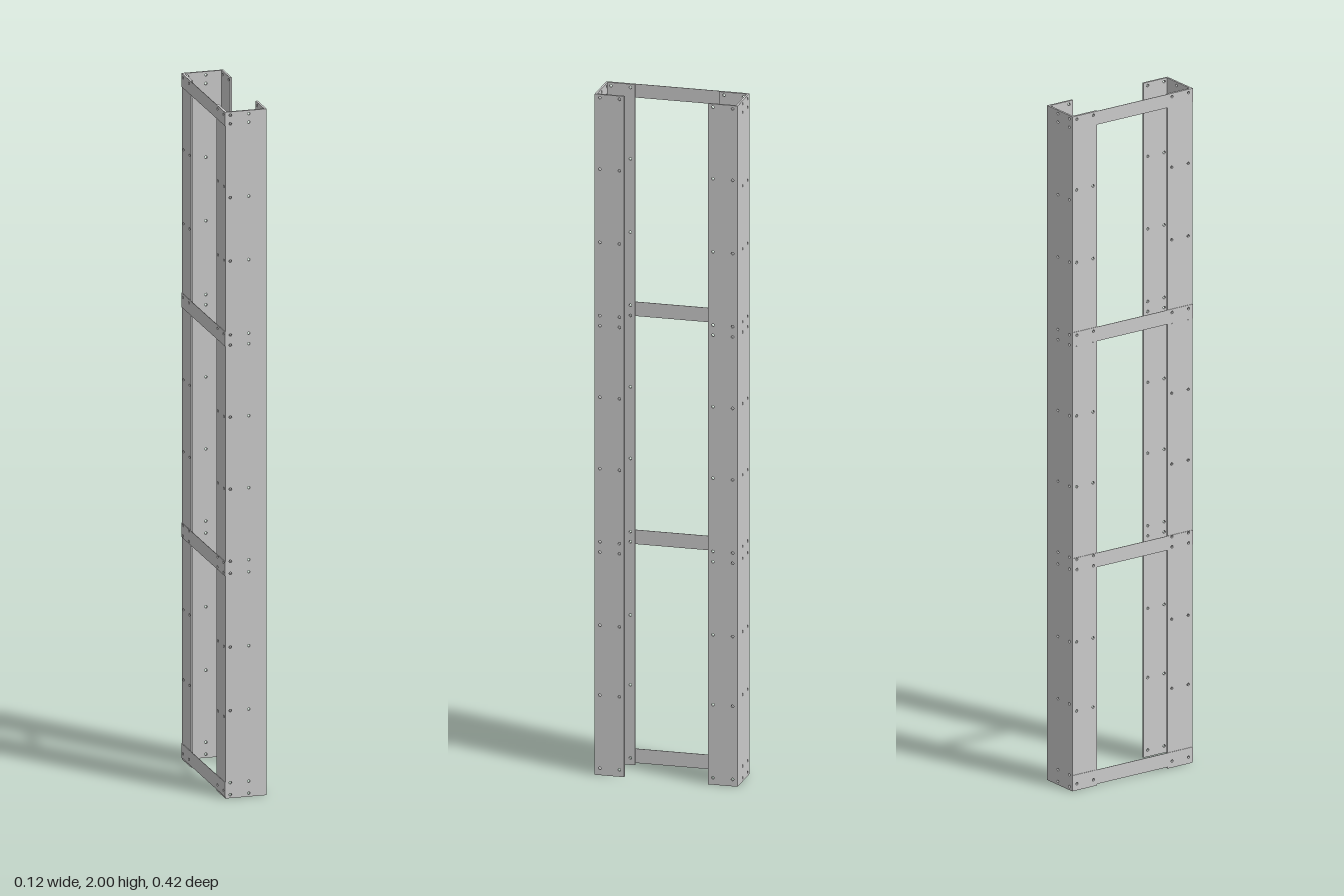
import * as THREE from 'three';

const X0 = -0.0595, X1 = 0.061;   // channel outer faces
const Z_OUT = 0.208, Z_IN = 0.122; // web outer face, flange tip
const T = 0.006, STRIP = 0.0016;   // sheet and batten thickness
const HOLE = 0.004;

const webRows = [0.01, 0.045, 0.255, 0.44, 0.655, 0.69, 0.9, 1.11, 1.32, 1.35, 1.565, 1.75, 1.965, 1.99];
const flangeRows = [0.02, 0.235, 0.44, 0.655, 0.685, 0.9, 1.11, 1.32, 1.35, 1.565, 1.78, 1.99];
const battens = [[0.005, 0.047], [0.648, 0.69], [1.318, 1.36], [1.96, 2]];

const material = new THREE.MeshStandardMaterial({ color: 0xcccccc });

// Flat sheet from (u0, v0) to (u1, v1), pierced by a grid of small holes
function sheet(name, u0, u1, v0, v1, depth, columns, rows) {
  const shape = new THREE.Shape();
  shape.moveTo(u0, v0);
  shape.lineTo(u1, v0);
  shape.lineTo(u1, v1);
  shape.lineTo(u0, v1);
  shape.closePath();
  for (const u of columns) for (const v of rows) {
    const hole = new THREE.Path();
    hole.absarc(u, v, HOLE, 0, Math.PI * 2, true);
    shape.holes.push(hole);
  }
  const geometry = new THREE.ExtrudeGeometry(shape, { depth, bevelEnabled: false, curveSegments: 6 });
  const mesh = new THREE.Mesh(geometry, material);
  mesh.name = name;
  return mesh;
}

// Sheet standing in the z-y plane with its +x face at x
function sideSheet(x, ...args) {
  const mesh = sheet(...args);
  mesh.rotation.y = -Math.PI / 2;
  mesh.position.x = x;
  return mesh;
}

// C-shaped upright: web on the outside, two flanges pointing inwards
function channel(name, side) {
  const group = new THREE.Group();
  group.name = name;

  const web = sheet('web', X0, X1, 0, 2, T, [-0.045, 0.009], webRows);
  web.position.z = side > 0 ? Z_OUT - T : -Z_OUT;
  group.add(web);

  const [z0, z1] = [side * Z_IN, side * (Z_OUT - T)].sort((a, b) => a - b);
  const columns = [side * 0.136, side * 0.193];
  group.add(
    sideSheet(X1, 'leftFlange', z0, z1, 0, 2, T, columns, flangeRows),
    sideSheet(X0 + T, 'rightFlange', z0, z1, 0, 2, T, columns, flangeRows)
  );
  return group;
}

export function createModel() {
  const model = new THREE.Group();
  model.name = 'battenedColumn';
  model.add(channel('frontChannel', 1), channel('backChannel', -1));

  // Thin battens tying the two channels together on one side
  battens.forEach(([y0, y1], i) => {
    const rows = flangeRows.filter(y => y > y0 + HOLE && y < y1 - HOLE);
    model.add(sideSheet(X0, `batten${i + 1}`, -Z_OUT, Z_OUT, y0, y1, STRIP,
      [-0.193, -0.136, 0.136, 0.193], rows));
  });
  return model;
}
